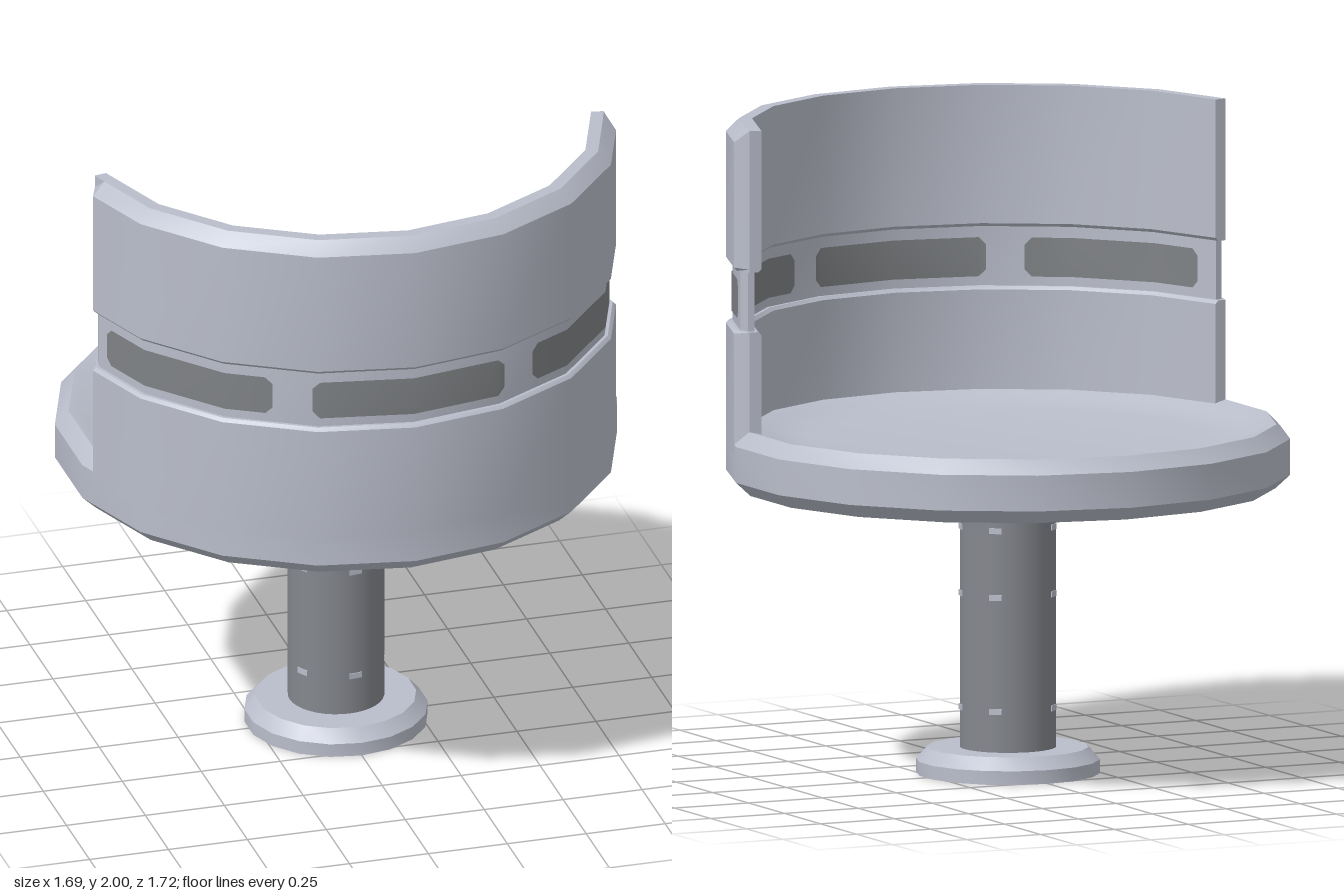
import * as THREE from 'three';
import { toCreasedNormals } from 'three/addons/utils/BufferGeometryUtils.js';

const SIDES = 18, STEP = 360 / SIDES;
const rad = THREE.MathUtils.degToRad;

const shellGrey = new THREE.MeshStandardMaterial({ color: 0xbabecb });
shellGrey.name = 'shellGrey';
const postGrey = new THREE.MeshStandardMaterial({ color: 0x84878d });
postGrey.name = 'postGrey';
const panelGrey = new THREE.MeshStandardMaterial({ color: 0x7f8285, side: THREE.DoubleSide });
panelGrey.name = 'panelGrey';

// point at an angle (from +z towards +x) on a polygon of the given corner radius
function ringPoint(r, deg, y) {
  const off = ((deg % STEP) + STEP) % STEP - STEP / 2;
  const d = r * Math.cos(rad(STEP / 2)) / Math.cos(rad(off));
  return [d * Math.sin(rad(deg)), y, d * Math.cos(rad(deg))];
}

function makeGeometry(positions) {
  const g = new THREE.BufferGeometry();
  g.setAttribute('position', new THREE.Float32BufferAttribute(positions, 3));
  return toCreasedNormals(g, rad(30));
}

function mesh(name, geometry, material) {
  const m = new THREE.Mesh(geometry, material);
  m.name = name;
  return m;
}

function lathe(name, points) {
  const g = new THREE.LatheGeometry(points.map(p => new THREE.Vector2(...p)), SIDES);
  return mesh(name, toCreasedNormals(g, rad(30)), shellGrey);
}

// sweep a closed convex (radius, height) profile round the back, outer end corners bevelled
function sweep(profile, end, bevelAt, endRadius) {
  const angles = [-end, -bevelAt, -60, -40, -20, 0, 20, 40, 60, bevelAt, end];
  const rows = angles.map((a, i) => profile.map(([r, y]) =>
    ringPoint(i === 0 || i === angles.length - 1 ? Math.min(r, endRadius) : r, a, y)));
  const out = [], n = profile.length;
  const tri = (...pts) => pts.forEach(p => out.push(...p));
  for (let i = 0; i < rows.length - 1; i++) {
    for (let j = 0; j < n; j++) {
      const k = (j + 1) % n;
      tri(rows[i][j], rows[i + 1][j], rows[i + 1][k]);
      tri(rows[i][j], rows[i + 1][k], rows[i][k]);
    }
  }
  const first = rows[0], last = rows[rows.length - 1];
  for (let j = 1; j < n - 1; j++) {
    tri(first[0], first[j], first[j + 1]);
    tri(last[0], last[j + 1], last[j]);
  }
  return makeGeometry(out);
}

// thin inlay with cut corners that follows the polygon
function inlay(r, from, to) {
  const angles = [from, from + 1.6, to - 1.6, to];
  for (let a = -80; a <= 80; a += STEP) if (a > from + 1.6 && a < to - 1.6) angles.push(a);
  angles.sort((a, b) => a - b);
  const out = [], mid = 1.47;
  const half = i => (i === 0 || i === angles.length - 1 ? 0.038 : 0.06);
  for (let i = 0; i < angles.length - 1; i++) {
    const a = ringPoint(r, angles[i], mid - half(i));
    const b = ringPoint(r, angles[i + 1], mid - half(i + 1));
    const c = ringPoint(r, angles[i + 1], mid + half(i + 1));
    const d = ringPoint(r, angles[i], mid + half(i));
    out.push(...a, ...b, ...c, ...a, ...c, ...d);
  }
  return makeGeometry(out);
}

export function createModel() {
  const chair = new THREE.Group();
  chair.name = 'swivelChair';

  // foot plate and post
  chair.add(lathe('footPlate', [[0, 0], [0.28, 0], [0.28, 0.042], [0.245, 0.08], [0, 0.08]]));
  const post = mesh('post', new THREE.CylinderGeometry(0.147, 0.147, 0.83, 36, 1, true), postGrey);
  post.position.y = 0.485;
  chair.add(post);

  // small bright studs on the post
  for (const y of [0.76, 0.555, 0.205]) {
    for (const deg of [8, 76, 139, 225, 300]) {
      const stud = mesh('postStud', new THREE.BoxGeometry(0.04, 0.018, 0.006), shellGrey);
      stud.position.set(0.146 * Math.sin(rad(deg)), y, 0.146 * Math.cos(rad(deg)));
      stud.rotation.y = rad(deg);
      chair.add(stud);
    }
  }

  // seat with bevelled rim and shallow dish
  chair.add(lathe('seat', [[0, 0.88], [0.815, 0.88], [0.86, 0.922], [0.86, 1.032], [0.818, 1.076],
    [0.79, 1.07], [0.74, 1.052], [0.68, 1.037], [0.61, 1.03], [0, 1.03]]));

  // backrest: lower wall, recessed band, upper wall
  const lower = [[0.86, 1.0], [0.86, 1.372], [0.85, 1.382], [0.79, 1.382], [0.78, 1.372], [0.78, 1.0]];
  const upper = [[0.85, 1.565], [0.86, 1.575], [0.86, 1.96], [0.82, 2], [0.78, 2], [0.78, 1.575], [0.79, 1.565]];
  const band = [[0.84, 1.37], [0.84, 1.58], [0.80, 1.58], [0.80, 1.37]];
  chair.add(mesh('lowerBackrest', sweep(lower, 80, 76.4, 0.818), shellGrey));
  chair.add(mesh('upperBackrest', sweep(upper, 80, 76.4, 0.818), shellGrey));
  chair.add(mesh('backrestBand', sweep(band, 78.6, 76.2, 0.82), shellGrey));

  // dark inlays on both faces of the band
  for (const [from, to] of [[-73.2, -29.7], [-21.2, 21.2], [29.7, 73.2]]) {
    chair.add(mesh('outerInlay', inlay(0.843, from, to), panelGrey));
    chair.add(mesh('innerInlay', inlay(0.797, from, to), panelGrey));
  }
  return chair;
}
